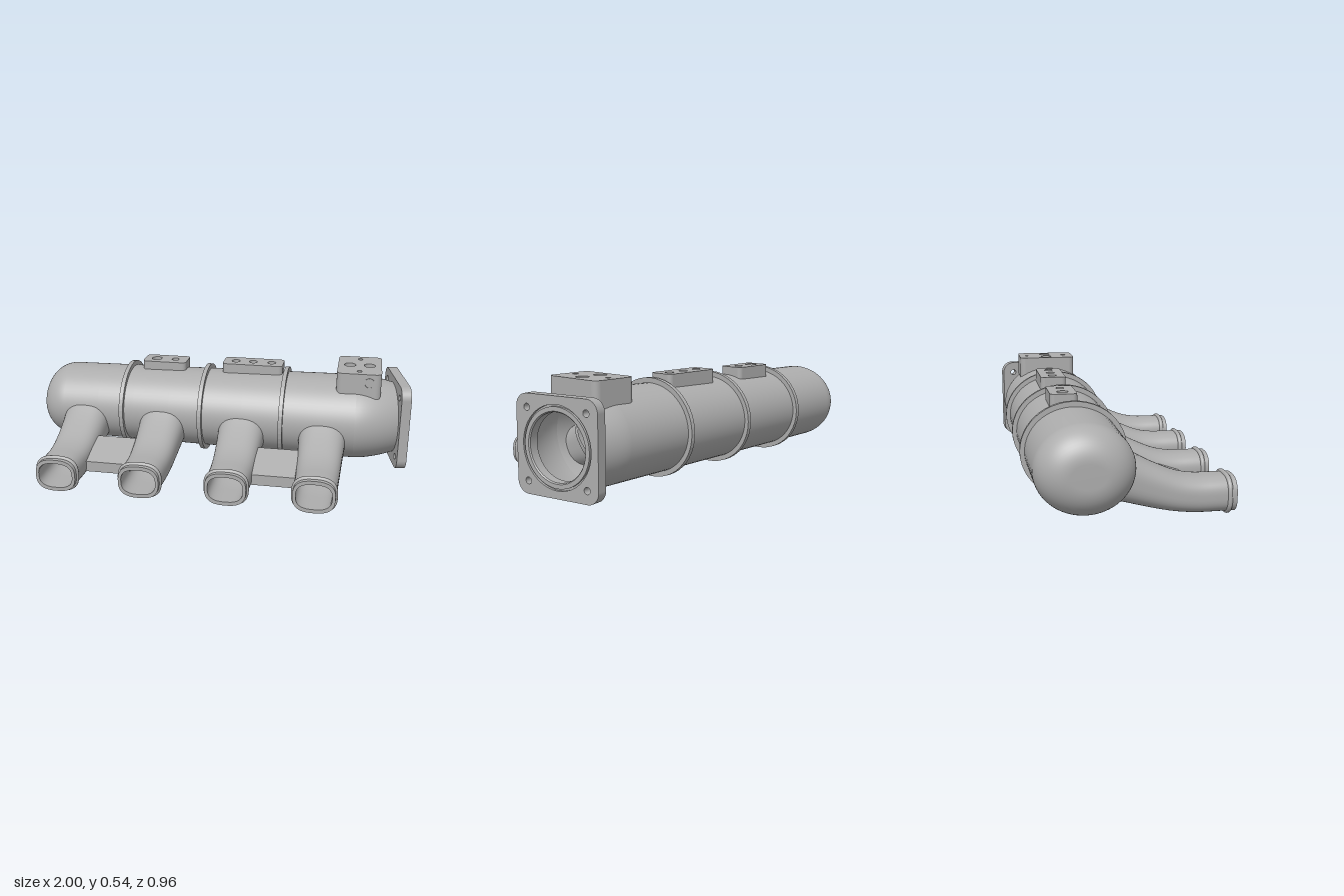
import * as THREE from 'three';

const V = (x, y, z) => new THREE.Vector3(x, y, z);
const CY = 0.26, CZ = -0.212;            // plenum axis
const SEG = 64;

const metal = new THREE.MeshStandardMaterial({ color: 0xadadad, side: THREE.DoubleSide });
metal.name = 'cast metal grey';

function add(parent, name, geometry) {
  const m = new THREE.Mesh(geometry, metal);
  m.name = name;
  parent.add(m);
  return m;
}

// skin over a list of closed rings of points
function loft(rings) {
  const n = rings[0].length, pos = [], idx = [];
  rings.forEach(r => r.forEach(p => pos.push(p.x, p.y, p.z)));
  for (let i = 0; i < rings.length - 1; i++) {
    for (let j = 0; j < n; j++) {
      const k = (j + 1) % n, a = i * n + j, b = i * n + k;
      idx.push(a, a + n, b, b, a + n, b + n);
    }
  }
  const g = new THREE.BufferGeometry();
  g.setAttribute('position', new THREE.Float32BufferAttribute(pos, 3));
  g.setIndex(idx);
  g.computeVertexNormals();
  return g;
}

// elliptical ring across the x axis, leaning by slope along z
function ellipse(x, y, z, ry, rz, slope = 0) {
  return Array.from({ length: SEG }, (_, j) => {
    const a = j / SEG * Math.PI * 2, dz = rz * Math.sin(a);
    return V(x + slope * dz, y + ry * Math.cos(a), z + dz);
  });
}

function roundedRect(w, h, r) {
  const s = new THREE.Shape(), x = w / 2, y = h / 2;
  s.absarc(x - r, y - r, r, 0, Math.PI / 2);
  s.absarc(r - x, y - r, r, Math.PI / 2, Math.PI);
  s.absarc(r - x, r - y, r, Math.PI, Math.PI * 1.5);
  s.absarc(x - r, r - y, r, Math.PI * 1.5, Math.PI * 2);
  s.closePath();
  return s;
}

function punch(shape, x, y, r) {
  const p = new THREE.Path();
  p.absarc(x, y, r, 0, Math.PI * 2, true);
  shape.holes.push(p);
}

const extrude = (shape, depth) =>
  new THREE.ExtrudeGeometry(shape, { depth, bevelEnabled: false, curveSegments: 24 });

// plenum radii grow slowly towards the throttle end
const radii = x => {
  const t = (x + 0.86) / 1.58;
  return [0.2 + 0.02 * t, 0.222 + 0.03 * t];
};

function addPlenum(g) {
  const rings = [], R = 0.145;
  rings.push(ellipse(-1, CY, CZ, 0.0005, 0.0005));
  for (let i = 0; i <= 14; i++) {
    const a = i / 14 * Math.PI / 2, x = -1 + R * (1 - Math.cos(a)), cut = R * (1 - Math.sin(a));
    const [ry, rz] = radii(-1 + R);
    rings.push(ellipse(x, CY, CZ, ry - cut, rz - cut));
  }
  for (let i = 1; i <= 8; i++) {
    const x = -0.855 + 1.575 * i / 8;
    rings.push(ellipse(x, CY, CZ, ...radii(x)));
  }
  add(g, 'plenum', loft(rings));

  // neck blends the plenum into the tilted throttle flange
  const neck = [], L = THREE.MathUtils.lerp;
  for (let i = 0; i <= 12; i++) {
    const t = i / 12, e = Math.pow(t, 1.6);
    neck.push(ellipse(L(0.72, 0.912, t), L(CY, 0.257, e), L(CZ, -0.243, e),
      L(0.22, 0.187, e), L(0.252, 0.184, e), 0.18 * t));
  }
  add(g, 'throttleNeck', loft(neck));

  // raised ribs around the plenum
  for (const x of [-0.52, -0.09, 0.34]) {
    const [ry, rz] = radii(x), s = new THREE.Shape(), h = new THREE.Path();
    s.absellipse(0, 0, rz + 0.022, ry + 0.025, 0, Math.PI * 2);
    h.absellipse(0, 0, rz - 0.002, ry - 0.002, 0, Math.PI * 2, true);
    s.holes.push(h);
    const rib = add(g, 'plenumRib', extrude(s, 0.022));
    rib.rotation.y = Math.PI / 2;
    rib.position.set(x - 0.011, CY, CZ);
  }
}

function addFlange(g) {
  const flange = new THREE.Group();
  flange.name = 'throttleFlange';
  const s = roundedRect(0.447, 0.447, 0.06);
  punch(s, 0, 0, 0.187);
  for (const x of [-1, 1]) for (const y of [-1, 1]) punch(s, x * 0.163, y * 0.163, 0.016);
  add(flange, 'flangePlate', extrude(s, 0.05)).position.z = -0.05;
  // bore with a seal groove, each face kept crisp
  const profile = [[0.187, 0], [0.187, -0.012], [0.178, -0.012], [0.178, 0], [0.158, 0],
    [0.153, -0.006], [0.153, -0.05], [0.187, -0.05]];
  for (let i = 0; i < profile.length - 1; i++) {
    const pts = [profile[i], profile[i + 1]].map(p => new THREE.Vector2(...p));
    add(flange, 'flangeBore', new THREE.LatheGeometry(pts, SEG).rotateX(Math.PI / 2));
  }
  flange.position.set(0.957, 0.257, -0.251);
  flange.rotation.y = THREE.MathUtils.degToRad(100.3);
  g.add(flange);
}

// runner centre lines: each point is (half width, y, z)
const topLine = new THREE.CatmullRomCurve3([V(0.102, 0.177, 0.48), V(0.105, 0.177, 0.4),
  V(0.107, 0.178, 0.31), V(0.11, 0.192, 0.23), V(0.114, 0.228, 0.14), V(0.12, 0.268, 0.06), V(0.128, 0.31, -0.01)]);
const bottomLine = new THREE.CatmullRomCurve3([V(0.102, 0.01, 0.48), V(0.105, 0.01, 0.4),
  V(0.107, 0.011, 0.3), V(0.11, 0.022, 0.2), V(0.114, 0.043, 0.1), V(0.12, 0.072, -0.01), V(0.128, 0.11, -0.15)]);

function slot(top, bottom, grow) {
  const n = 48, f = c => Math.sign(c) * Math.pow(Math.abs(c), 2 / 2.7);
  return Array.from({ length: n }, (_, j) => {
    const a = (j + 0.5) / n * Math.PI * 2, v = f(Math.sin(a));
    const p = bottom.clone().lerp(top, (v + 1) / 2);
    return V((p.x + grow * 0.8) * f(Math.cos(a)), p.y + grow * v, p.z);
  });
}

function addRunner(g, x) {
  const runner = new THREE.Group();
  runner.name = 'runner';
  const wall = grow => Array.from({ length: 25 }, (_, i) =>
    slot(topLine.getPoint(i / 24), bottomLine.getPoint(i / 24), grow));
  const outer = wall(0), inner = wall(-0.019);
  add(runner, 'runnerOuter', loft(outer));
  add(runner, 'runnerInner', loft(inner));
  add(runner, 'runnerLip', loft([outer[0], inner[0]]));
  // hose bead near the outlet
  const bead = [];
  for (let i = 0; i <= 8; i++) {
    const a = i / 8 * Math.PI, z = 0.447 + 0.011 * Math.cos(a);
    bead.push(slot(V(0.103, 0.177, z), V(0.103, 0.01, z), 0.011 * Math.sin(a)));
  }
  add(runner, 'hoseBead', loft(bead));
  runner.position.x = x;
  g.add(runner);
}

// web plate joining a pair of runners
function addWeb(g, x) {
  const s = new THREE.Shape([[0.32, 0.055], [0.32, 0.11], [0.125, 0.176], [0.125, 0.115]]
    .map(p => new THREE.Vector2(-p[0], p[1])));
  const web = add(g, 'runnerWeb', extrude(s, 0.25));
  web.rotation.y = Math.PI / 2;
  web.position.x = x - 0.125;
}

// pad standing on the plenum with blind holes [x, z, r]
function addBoss(g, name, x, z, w, d, r, bottom, top, holes) {
  const boss = new THREE.Group(), lid = 0.045;
  boss.name = name;
  const face = roundedRect(w, d, r);
  holes.forEach(h => punch(face, h[0] - x, z - h[1], h[2]));
  add(boss, name + 'Base', extrude(roundedRect(w, d, r), top - lid - bottom));
  add(boss, name + 'Face', extrude(face, lid)).position.z = top - lid - bottom;
  boss.rotation.x = -Math.PI / 2;
  boss.position.set(x, bottom, z);
  g.add(boss);
}

export function createModel() {
  const g = new THREE.Group();
  g.name = 'intakeManifold';
  addPlenum(g);
  addFlange(g);
  [-0.73, -0.303, 0.13, 0.556].forEach(x => addRunner(g, x));
  [-0.517, 0.343].forEach(x => addWeb(g, x));

  addBoss(g, 'smallBoss', -0.33, -0.246, 0.24, 0.13, 0.022, 0.43, 0.51,
    [[-0.385, -0.246, 0.028], [-0.28, -0.246, 0.02]]);
  addBoss(g, 'longBoss', 0.157, -0.246, 0.325, 0.13, 0.022, 0.43, 0.52,
    [[0.06, -0.246, 0.022], [0.155, -0.246, 0.022], [0.255, -0.246, 0.022]]);
  addBoss(g, 'sensorBlock', 0.727, -0.216, 0.228, 0.316, 0.03, 0.405, 0.542,
    [[0.675, -0.218, 0.03], [0.778, -0.218, 0.03], [0.727, -0.328, 0.013], [0.727, -0.11, 0.013]]);

  // side port rim on the sensor block
  const rim = new THREE.Shape().absarc(0, 0, 0.028, 0, Math.PI * 2);
  punch(rim, 0, 0, 0.022);
  add(g, 'sidePortRim', extrude(rim, 0.004)).position.set(0.78, 0.494, -0.059);
  return g;
}
